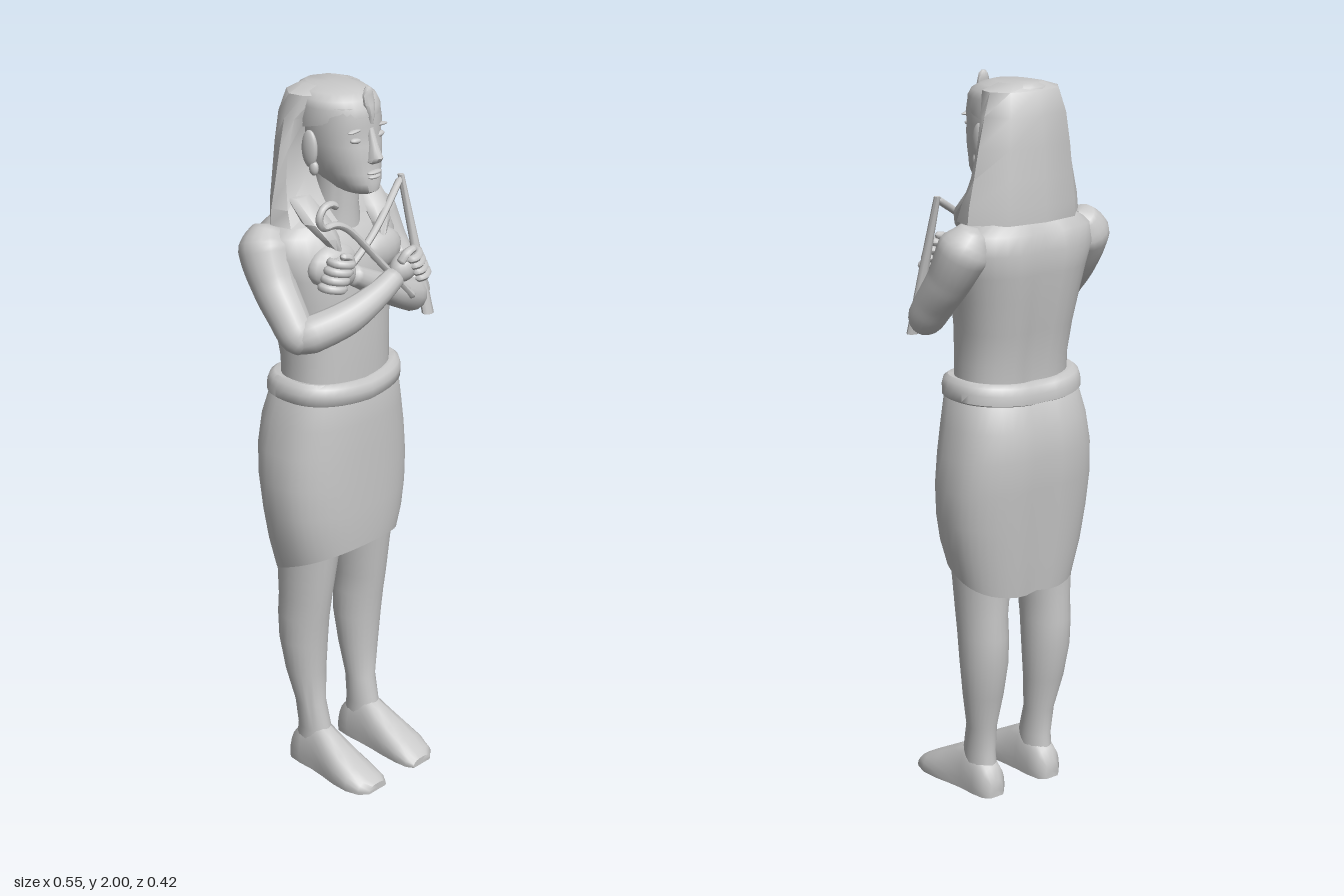
import * as THREE from 'three';
import { toCreasedNormals } from 'three/addons/utils/BufferGeometryUtils.js';

const stone = new THREE.MeshStandardMaterial({ color: 0xc8c8c8, side: THREE.DoubleSide });
stone.name = 'grey stone';

// Skin a list of closed rings; caps fan from ring centres
function loft(rings, capStart = true, capEnd = true, crease = 0.9) {
  const n = rings[0].length, pos = [], idx = [];
  rings.forEach(r => r.forEach(p => pos.push(...p)));
  for (let i = 0; i < rings.length - 1; i++) {
    for (let j = 0; j < n; j++) {
      const a = i * n + j, b = i * n + (j + 1) % n;
      idx.push(a, b, b + n, a, b + n, a + n);
    }
  }
  const cap = (i, flip) => {
    const c = pos.length / 3;
    pos.push(...[0, 1, 2].map(k => rings[i].reduce((s, p) => s + p[k], 0) / n));
    for (let j = 0; j < n; j++) {
      const a = i * n + j, b = i * n + (j + 1) % n;
      idx.push(...(flip ? [c, b, a] : [c, a, b]));
    }
  };
  if (capStart) cap(0, true);
  if (capEnd) cap(rings.length - 1, false);
  const g = new THREE.BufferGeometry();
  g.setAttribute('position', new THREE.Float32BufferAttribute(pos, 3));
  g.setIndex(idx);
  return toCreasedNormals(g, crease);
}

// Horizontal rounded sections from rows of [y, centre x, half width, front z, back z]
function stack(rows, { n = 24, pow = 1, groove = 0, yShift = () => 0, caps = true } = {}) {
  const soft = v => Math.sign(v) * Math.pow(Math.abs(v), pow);
  return loft(rows.map(([y, cx, rx, zf, zb], i) => Array.from({ length: n }, (_, j) => {
    const a = j / n * Math.PI * 2;
    const x = cx + rx * soft(Math.sin(a)), c = soft(Math.cos(a));
    let z = (zf + zb) / 2 + (zf - zb) / 2 * c;
    if (c < 0) z += groove * Math.exp(-Math.pow(x / 0.035, 2));
    return [x, y + yShift(x, z, i), z];
  })), caps, caps);
}

// Tube of varying radius through points of [x, y, z, radius], closed by rounded ends
function limb(points, sides = 14, steps = 24) {
  const curve = new THREE.CatmullRomCurve3(points.map(p => new THREE.Vector3(p[0], p[1], p[2])));
  const g = new THREE.TubeGeometry(curve, steps, 1, sides), p = g.attributes.position;
  const v = new THREE.Vector3();
  for (let i = 0; i <= steps; i++) {
    const centre = curve.getPointAt(i / steps);
    const t = curve.getUtoTmapping(i / steps) * (points.length - 1);
    const k = Math.min(Math.floor(t), points.length - 2);
    let r = THREE.MathUtils.lerp(points[k][3], points[k + 1][3], t - k);
    if (i === 0 || i === steps) r *= 0.05;
    for (let j = 0; j <= sides; j++) {
      const q = i * (sides + 1) + j;
      v.fromBufferAttribute(p, q).sub(centre).multiplyScalar(r).add(centre);
      p.setXYZ(q, v.x, v.y, v.z);
    }
  }
  g.computeVertexNormals();
  return g;
}

export function createModel() {
  const model = new THREE.Group();
  model.name = 'standingRuler';
  const add = (name, geometry) => {
    const m = new THREE.Mesh(geometry, stone);
    m.name = name;
    model.add(m);
    return m;
  };
  const blob = (name, [x, y, z], [sx, sy, sz], rz = 0) => {
    const m = add(name, new THREE.SphereGeometry(1, 16, 12));
    m.position.set(x, y, z);
    m.scale.set(sx, sy, sz);
    m.rotation.z = rz;
  };

  // Torso and neck
  add('torso', stack([
    [1.14, 0, 0.165, 0.07, -0.15], [1.25, 0, 0.163, 0.072, -0.155], [1.34, 0, 0.168, 0.072, -0.175],
    [1.43, 0, 0.185, 0.068, -0.19], [1.5, 0, 0.2, 0.07, -0.203], [1.56, 0, 0.215, 0.055, -0.21],
    [1.61, 0, 0.205, 0.03, -0.2], [1.645, 0, 0.15, 0, -0.175], [1.67, 0, 0.07, -0.01, -0.14],
  ], { n: 32, pow: 0.85, groove: 0.02 }));
  add('neck', stack([[1.6, 0, 0.07, 0.03, -0.12], [1.67, 0, 0.057, 0.025, -0.1], [1.78, 0, 0.058, 0.035, -0.1]]));
  for (const s of [-1, 1]) blob('chestMuscle', [s * 0.085, 1.53, 0.03], [0.085, 0.06, 0.045]);

  // Wrapped kilt with a slanted hem, and its rolled waistband
  add('kilt', stack([
    [0.67, 0, 0.185, 0.092, -0.165], [0.74, 0, 0.208, 0.095, -0.178], [0.82, 0, 0.223, 0.096, -0.188],
    [0.91, 0, 0.229, 0.096, -0.2], [1.0, 0, 0.222, 0.096, -0.208], [1.08, 0, 0.208, 0.095, -0.203],
    [1.15, 0, 0.193, 0.092, -0.182], [1.18, 0, 0.18, 0.085, -0.165],
  ], { n: 40, pow: 0.82, groove: 0.012, caps: false, yShift: (x, z, i) => [0.42, 0.2, 0.06][i] * z || 0 }));
  add('waistband', stack([
    [1.135, 0, 0.185, 0.085, -0.17], [1.145, 0, 0.197, 0.097, -0.187], [1.17, 0, 0.196, 0.1, -0.188],
    [1.19, 0, 0.191, 0.095, -0.18], [1.2, 0, 0.18, 0.082, -0.165], [1.195, 0, 0.155, 0.06, -0.14],
  ], { n: 40, pow: 0.82, groove: 0.015, yShift: x => 0.07 * Math.abs(x) }));

  // Legs and feet
  for (const s of [-1, 1]) {
    add('leg', stack([
      [0.06, 0.1, 0.04, 0.03, -0.09], [0.12, 0.1, 0.039, 0.025, -0.082], [0.2, 0.103, 0.042, 0.003, -0.087],
      [0.3, 0.108, 0.057, 0.003, -0.113], [0.4, 0.11, 0.066, 0.01, -0.133], [0.48, 0.111, 0.066, 0.02, -0.138],
      [0.54, 0.111, 0.066, 0.03, -0.135], [0.65, 0.107, 0.075, 0.045, -0.14], [0.8, 0.104, 0.088, 0.065, -0.15],
    ].map(([y, x, ...r]) => [y, x * s, ...r])));
    const foot = [
      [-0.107, 0.1, 0.022, 0.05], [-0.09, 0.1, 0.04, 0.085], [-0.05, 0.1, 0.046, 0.12], [0, 0.1, 0.047, 0.14],
      [0.05, 0.102, 0.052, 0.112], [0.1, 0.104, 0.059, 0.085], [0.15, 0.104, 0.061, 0.058],
      [0.19, 0.1, 0.054, 0.036], [0.21, 0.094, 0.035, 0.022],
    ];
    add('foot', loft(foot.map(([z, cx, rx, h]) => Array.from({ length: 18 }, (_, j) => {
      const a = j / 18 * Math.PI * 2, c = Math.cos(a), q = Math.sin(a);
      return [s * cx + rx * Math.sign(c) * Math.pow(Math.abs(c), 0.7), q < -0.3 ? 0 : h * (q + 0.3) / 1.3, z];
    }))));
  }

  // Upper arms, mirrored
  for (const s of [-1, 1]) {
    add('upperArm', limb([
      [s * 0.17, 1.63, -0.115, 0.035], [s * 0.2, 1.575, -0.1, 0.073], [s * 0.216, 1.49, -0.055, 0.06],
      [s * 0.222, 1.42, 0, 0.054], [s * 0.222, 1.37, 0.04, 0.05], [s * 0.21, 1.345, 0.07, 0.03],
    ], 18, 30));
  }
  // Crossed forearms, the right one in front
  add('rightForearm', limb([
    [-0.24, 1.355, 0.02, 0.035], [-0.2, 1.375, 0.06, 0.05], [-0.11, 1.41, 0.107, 0.046],
    [-0.02, 1.455, 0.13, 0.035], [0.06, 1.495, 0.132, 0.028]]));
  add('leftForearm', limb([
    [0.24, 1.355, 0.02, 0.035], [0.2, 1.375, 0.05, 0.048], [0.11, 1.415, 0.077, 0.042],
    [0, 1.475, 0.085, 0.032], [-0.08, 1.52, 0.082, 0.027]]));

  // Fists with four curled fingers and a thumb
  const hand = (name, s, x, y, z) => {
    blob(name + 'Palm', [x, y, z], [0.05, 0.038, 0.034], s * 0.5);
    for (let i = 0; i < 4; i++) {
      const px = x + s * (0.005 + i * 0.011), py = y + 0.03 - i * 0.02;
      add(name + 'Finger', limb([
        [px + s * 0.03, py + 0.008, z - 0.015, 0.011], [px + s * 0.03, py + 0.006, z + 0.018, 0.012],
        [px, py, z + 0.036, 0.012], [px - s * 0.025, py - 0.004, z + 0.026, 0.01]], 8, 12));
    }
    add(name + 'Thumb', limb([
      [x - s * 0.03, y + 0.015, z + 0.01, 0.012], [x - s * 0.01, y + 0.042, z + 0.018, 0.013],
      [x + s * 0.02, y + 0.052, z + 0.02, 0.009]], 8, 12));
  };
  hand('rightHand', 1, 0.085, 1.507, 0.13);
  hand('leftHand', -1, -0.1, 1.525, 0.075);

  // Hooked staff
  add('crook', limb([
    [0.14, 1.4, 0.118], [0.02, 1.525, 0.108], [-0.1, 1.65, 0.095], [-0.14, 1.668, 0.092], [-0.18, 1.67, 0.09],
    [-0.195, 1.695, 0.09], [-0.18, 1.722, 0.09], [-0.15, 1.726, 0.09], [-0.125, 1.71, 0.09],
  ].map(p => [...p, 0.01]), 8, 60));

  // Flail: rod and hanging tail
  add('flailRod', limb([[-0.14, 1.495, 0.09, 0.01], [0.03, 1.59, 0.065, 0.01], [0.215, 1.695, 0, 0.01]], 8, 20));
  add('flailTail', stack([
    [1.32, 0.233, 0.018, 0.1, 0.07], [1.5, 0.222, 0.014, 0.06, 0.035], [1.7, 0.212, 0.008, 0.01, -0.01]], { n: 8 }));

  // Head and face
  add('head', stack([
    [1.718, 0, 0.03, 0.085, -0.02], [1.728, 0, 0.045, 0.104, -0.05], [1.75, 0, 0.062, 0.106, -0.09],
    [1.775, 0, 0.074, 0.1, -0.11], [1.81, 0, 0.085, 0.097, -0.12], [1.85, 0, 0.092, 0.093, -0.12],
    [1.875, 0, 0.094, 0.087, -0.12], [1.9, 0, 0.096, 0.09, -0.12], [1.95, 0, 0.094, 0.08, -0.12],
  ], { n: 32, pow: 0.92 }));
  add('nose', stack([
    [1.8, 0, 0.012, 0.1, 0.07], [1.808, 0, 0.021, 0.118, 0.07], [1.82, 0, 0.018, 0.126, 0.07],
    [1.85, 0, 0.012, 0.11, 0.07], [1.895, 0, 0.009, 0.092, 0.07]], { n: 12 }));
  blob('upperLip', [0, 1.779, 0.099], [0.026, 0.006, 0.012]);
  blob('lowerLip', [0, 1.767, 0.099], [0.022, 0.006, 0.011]);
  for (const s of [-1, 1]) {
    blob('eye', [s * 0.042, 1.866, 0.074], [0.02, 0.008, 0.011], s * 0.08);
    blob('eyebrow', [s * 0.045, 1.893, 0.075], [0.028, 0.005, 0.01], s * -0.1);
    blob('ear', [s * 0.1, 1.835, -0.035], [0.013, 0.05, 0.026]);
    blob('earLobe', [s * 0.098, 1.785, -0.022], [0.011, 0.02, 0.014]);
  }

  // Headcloth: crown over the brow, faceted drape at the back, pointed lappets
  add('headclothCrown', stack([
    [1.925, 0, 0.1, 0.088, -0.15], [1.945, 0, 0.102, 0.086, -0.15], [1.965, 0, 0.097, 0.072, -0.15],
    [1.98, 0, 0.08, 0.045, -0.145], [1.989, 0, 0.05, 0.01, -0.13],
  ], { n: 28, yShift: (x, z, i) => i < 1 ? 0.25 * (z - 0.088) : 0 }));
  const drape = [
    // y, front half width, front z, side half width, back half width, back z
    [1.635, 0.1, 0.01, 0.187, 0.11, -0.187], [1.68, 0.1, -0.02, 0.182, 0.109, -0.187],
    [1.75, 0.09, -0.06, 0.166, 0.105, -0.182], [1.83, 0.088, -0.075, 0.15, 0.1, -0.177],
    [1.91, 0.088, -0.06, 0.131, 0.092, -0.17], [1.972, 0.08, -0.03, 0.113, 0.08, -0.152],
    [1.988, 0.04, -0.04, 0.06, 0.05, -0.13],
  ];
  add('headclothDrape', loft(drape.map(([y, fx, fz, w, bx, bz]) => [
    [0, y, fz], [fx, y, fz], [w * 0.93, y, (fz - 0.095) / 2 + 0.01], [w, y, -0.095], [bx, y, bz + 0.015], [0, y, bz],
    [-bx, y, bz + 0.015], [-w, y, -0.095], [-w * 0.93, y, (fz - 0.095) / 2 + 0.01], [-fx, y, fz],
  ])));
  for (const s of [-1, 1]) {
    add('headclothLappet', stack([
      [1.575, s * 0.085, 0.012, 0.062, 0.02], [1.61, s * 0.098, 0.03, 0.056, 0],
      [1.65, s * 0.112, 0.042, 0.035, -0.04], [1.71, s * 0.122, 0.036, -0.03, -0.09]], { n: 8 }));
  }

  // Rearing serpent ornament on the brow
  add('browOrnament', stack([
    [1.905, 0, 0.005, 0.094, 0.07], [1.925, 0, 0.008, 0.097, 0.07], [1.955, 0, 0.018, 0.093, 0.068],
    [1.98, 0, 0.018, 0.084, 0.066], [1.993, 0, 0.013, 0.085, 0.067], [2, 0, 0.006, 0.08, 0.07]], { n: 10 }));

  return model;
}
